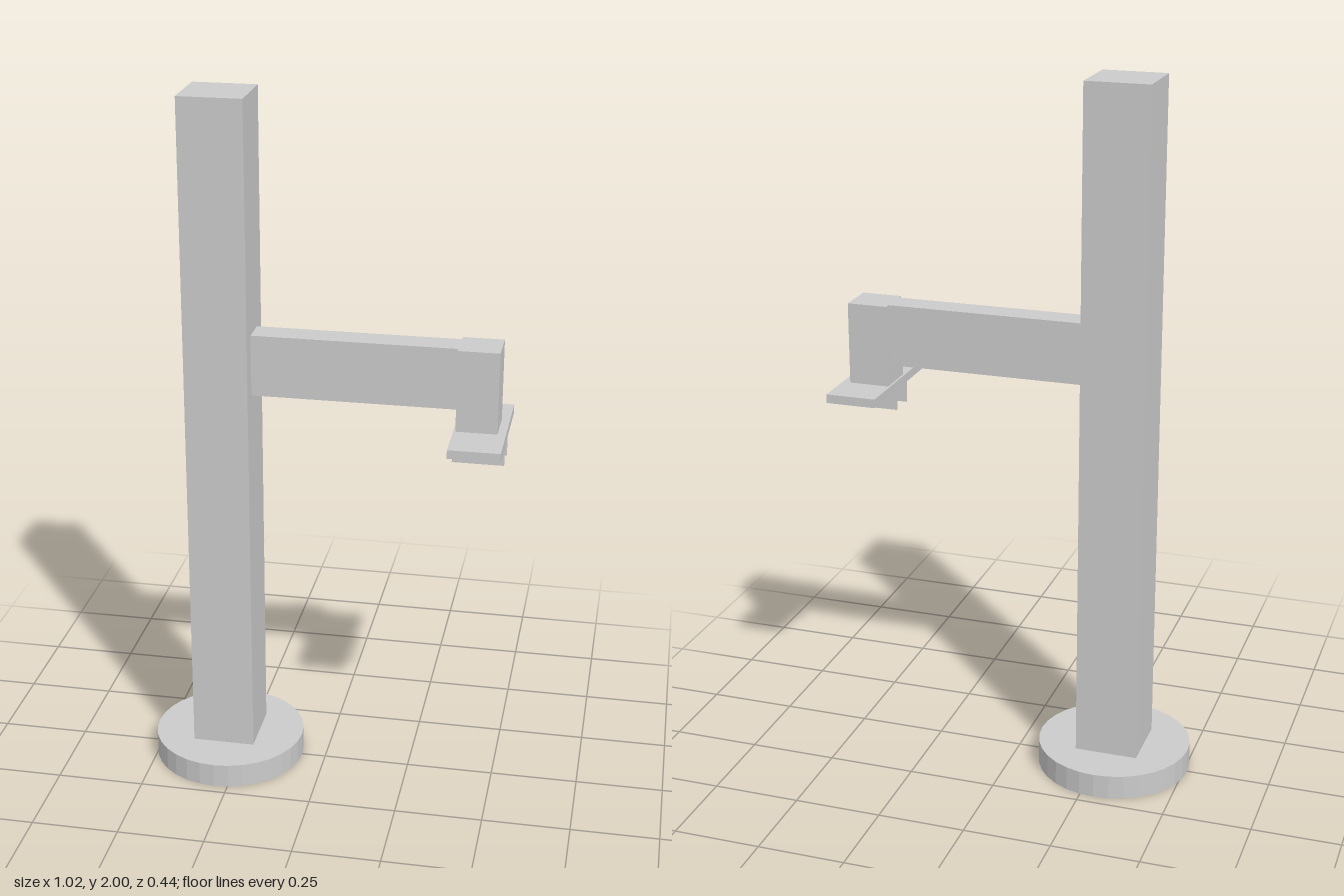
import * as THREE from 'three';

export function createModel() {
  const model = new THREE.Group();
  const material = new THREE.MeshStandardMaterial({ color: 0xcccccc, flatShading: true });

  function add(name, geometry, x, y, z) {
    const mesh = new THREE.Mesh(geometry, material);
    mesh.name = name;
    mesh.position.set(x, y, z);
    model.add(mesh);
  }

  // Box given by its lower and upper limits on each axis
  function addBox(name, [x0, x1], [y0, y1], [z0, z1]) {
    add(name, new THREE.BoxGeometry(x1 - x0, y1 - y0, z1 - z0),
      (x0 + x1) / 2, (y0 + y1) / 2, (z0 + z1) / 2);
  }

  // Round foot and square column
  add('base', new THREE.CylinderGeometry(0.22, 0.22, 0.07, 32), -0.29, 0.035, 0);
  addBox('column', [-0.38, -0.2], [0.07, 2], [-0.092, 0.088]);

  // Horizontal arm carrying the wrist block
  addBox('arm', [-0.2, 0.372], [1.163, 1.338], [-0.04, 0.04]);
  addBox('wrist', [0.371, 0.486], [1.105, 1.338], [-0.058, 0.056]);

  // Gripper plate with two thin fingers below
  addBox('gripperPlate', [0.365, 0.509], [1.08, 1.105], [-0.174, 0.189]);
  for (const [name, z] of [['leftFinger', 0.066], ['rightFinger', -0.008]]) {
    addBox(name, [0.365, 0.508], [1.02, 1.08], [z - 0.003, z + 0.003]);
  }

  return model;
}
